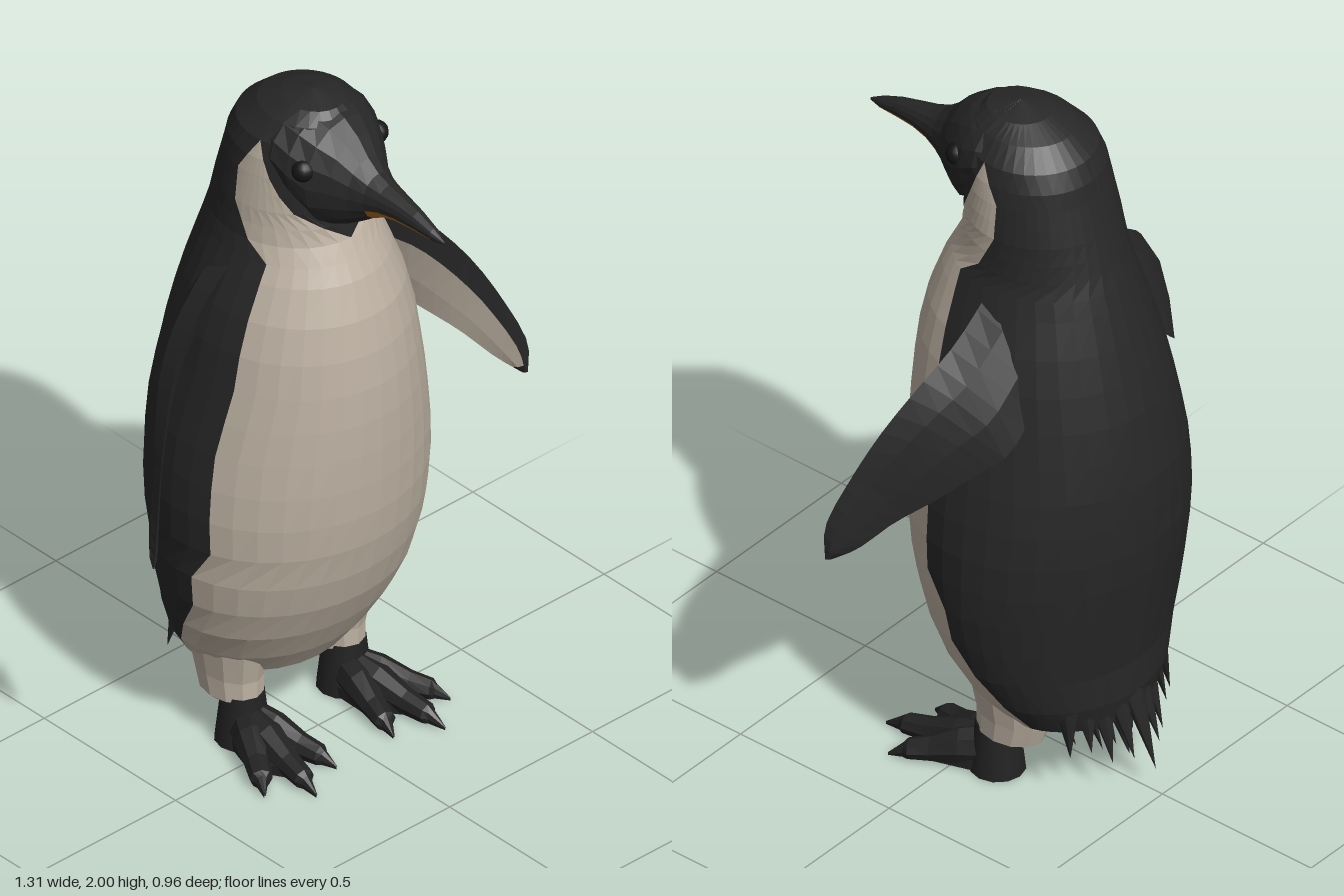
import * as THREE from 'three';

const mat = (name, color) => Object.assign(new THREE.MeshStandardMaterial({ color }), { name });
const lerp = THREE.MathUtils.lerp;

// Linear lookup in a list of [key, value] pairs with rising keys
function lookup(table, k) {
  if (k <= table[0][0]) return table[0][1];
  for (let i = 1; i < table.length; i++) {
    const [k0, v0] = table[i - 1], [k1, v1] = table[i];
    if (k <= k1) return lerp(v0, v1, (k - k0) / (k1 - k0));
  }
  return table[table.length - 1][1];
}

// Faceted skin over rows of points; pick(i, j) gives the material index of a quad
function skin(name, rows, materials, pick = () => 0, side = 1) {
  const buckets = materials.map(() => []);
  const tri = (out, a, b, c) => {
    const pts = side > 0 ? [a, b, c] : [a, c, b];
    const n = new THREE.Vector3().subVectors(b, a).cross(new THREE.Vector3().subVectors(c, a));
    if (n.length() > 1e-9) pts.forEach(p => out.push(p.x * side, p.y, p.z));
  };
  for (let i = 0; i < rows.length - 1; i++) {
    for (let j = 0; j < rows[i].length - 1; j++) {
      const a = rows[i][j], b = rows[i][j + 1], c = rows[i + 1][j + 1], d = rows[i + 1][j];
      const out = buckets[pick(i, j)];
      tri(out, a, b, c);
      tri(out, a, c, d);
    }
  }
  const geo = new THREE.BufferGeometry();
  geo.setAttribute('position', new THREE.Float32BufferAttribute(buckets.flat(), 3));
  let start = 0;
  buckets.forEach((b, m) => {
    geo.addGroup(start, b.length / 3, m);
    start += b.length / 3;
  });
  geo.computeVertexNormals();
  const mesh = new THREE.Mesh(geo, materials);
  mesh.name = name;
  return mesh;
}

export function createModel() {
  const model = new THREE.Group();
  model.name = 'penguin';
  const black = mat('black plumage', 0x272727);
  const cream = mat('cream plumage', 0xbdb1a2);
  const orange = mat('orange bill', 0xb0691c);
  const footBlack = mat('dark feet', 0x222222);
  const eyeBlack = mat('eye', 0x151515);
  const V = (x, y, z) => new THREE.Vector3(x, y, z);
  const add = (name, geo, m) => {
    const mesh = new THREE.Mesh(geo, m);
    mesh.name = name;
    model.add(mesh);
    return mesh;
  };

  // Body and head: height, front z, back z, half width
  const profile = [
    [0.17, -0.19, -0.21, 0.01], [0.18, -0.07, -0.35, 0.16], [0.22, 0, -0.405, 0.235],
    [0.3, 0.06, -0.42, 0.29], [0.4, 0.12, -0.42, 0.335], [0.5, 0.168, -0.435, 0.36],
    [0.6, 0.2, -0.45, 0.375], [0.7, 0.222, -0.466, 0.383], [0.8, 0.235, -0.475, 0.385],
    [0.9, 0.242, -0.477, 0.377], [1, 0.246, -0.475, 0.362], [1.1, 0.247, -0.462, 0.343],
    [1.2, 0.243, -0.445, 0.322], [1.3, 0.232, -0.42, 0.303], [1.4, 0.212, -0.393, 0.275],
    [1.5, 0.176, -0.363, 0.238], [1.55, 0.15, -0.347, 0.22], [1.6, 0.125, -0.33, 0.207],
    [1.65, 0.115, -0.316, 0.202], [1.7, 0.11, -0.302, 0.2], [1.75, 0.11, -0.288, 0.195],
    [1.8, 0.11, -0.274, 0.19], [1.85, 0.11, -0.262, 0.183], [1.9, 0.11, -0.238, 0.168],
    [1.95, 0.1, -0.18, 0.125], [1.98, 0.07, -0.11, 0.08], [2, -0.015, -0.025, 0.003],
  ];
  // Z of the edge of the dark back, and of the dark face
  const backEdge = [[0.2, -0.26], [0.3, -0.21], [0.4, -0.15], [0.5, -0.09], [0.6, -0.08], [0.7, -0.015],
    [1, -0.015], [1.2, 0.01], [1.55, 0.015], [1.6, -0.05], [1.7, -0.1], [1.8, -0.1], [1.85, -0.07], [1.9, -0.04]];
  const faceEdge = [[1.6, 0.3], [1.65, 0.1], [1.7, 0.055], [1.75, 0.025], [1.8, 0], [1.85, -0.02], [1.9, -0.04]];
  const FACE = 6, CHEEK = 7, BACK = 10;
  const bodyRows = profile.map(([y, zf, zb, hw]) => {
    const zc = (zf + zb) / 2, rz = (zf - zb) / 2;
    const angle = z => Math.acos(THREE.MathUtils.clamp((z - zc) / rz, -1, 1));
    const a1 = angle(lookup(faceEdge, y)), a2 = Math.max(a1, angle(lookup(backEdge, y)));
    const half = [];
    for (let k = 0; k <= FACE; k++) half.push(a1 * k / FACE);
    for (let k = 1; k <= CHEEK; k++) half.push(lerp(a1, a2, k / CHEEK));
    for (let k = 1; k <= BACK; k++) half.push(lerp(a2, Math.PI, k / BACK));
    const full = [...half.slice(1).reverse().map(a => -a), ...half];
    return full.map(a => V(hw * Math.sin(a), y, zc + rz * Math.cos(a)));
  });
  const HALF = FACE + CHEEK + BACK;
  model.add(skin('body', bodyRows, [black, cream], (i, j) => {
    const k = j >= HALF ? j - HALF : HALF - 1 - j;
    return k >= FACE && k < FACE + CHEEK ? 1 : 0;
  }));

  // Face and bill: z, top, bottom, half width
  const bill = [
    [-0.1, 1.96, 1.8, 0.14], [0, 1.985, 1.745, 0.17], [0.05, 1.98, 1.69, 0.162], [0.1, 1.963, 1.645, 0.14],
    [0.15, 1.93, 1.665, 0.105], [0.19, 1.885, 1.69, 0.075], [0.23, 1.855, 1.72, 0.056], [0.27, 1.84, 1.742, 0.045],
    [0.32, 1.828, 1.753, 0.035], [0.38, 1.813, 1.755, 0.026], [0.44, 1.79, 1.755, 0.017], [0.48, 1.768, 1.76, 0.003],
  ];
  const N = 16;
  const billRows = bill.map(([z, top, bottom, hw]) => Array.from({ length: N + 1 }, (_, j) => {
    const a = j / N * Math.PI * 2;
    return V(hw * Math.cos(a), (top + bottom) / 2 + (top - bottom) / 2 * Math.sin(a), z);
  }));
  model.add(skin('faceAndBill', billRows, [black, orange],
    (i, j) => (i >= 6 && i < 10 && [9, 10, 13, 14].includes(j) ? 1 : 0)));

  // Flipper edges from shoulder to tip
  const lead = new THREE.CatmullRomCurve3([V(0.2, 1.54, -0.09), V(0.33, 1.43, -0.08), V(0.44, 1.34, -0.05),
    V(0.53, 1.22, 0), V(0.6, 1.08, 0.05), V(0.65, 0.94, 0.09), V(0.655, 0.845, 0.085)]);
  const trail = new THREE.CatmullRomCurve3([V(0.24, 1.25, -0.27), V(0.33, 1.16, -0.26), V(0.4, 1.1, -0.2),
    V(0.47, 1.03, -0.13), V(0.54, 0.96, -0.05), V(0.605, 0.88, 0.02), V(0.645, 0.843, 0.075)]);
  const normal = V(0.77, 0.29, -0.57).normalize();
  const STEPS = 16;
  const wingRows = Array.from({ length: STEPS + 1 }, (_, i) => {
    const t = i / STEPS, L = lead.getPoint(t), T = trail.getPoint(t);
    const thick = lerp(0.045, 0.012, Math.min(1, t * 1.6)) * (i === STEPS ? 0.2 : 1);
    const at = (f, o) => L.clone().lerp(T, f).addScaledVector(normal, o * thick);
    return [at(1, 0), at(0.67, 0.8), at(0.3, 1), at(0, 0), at(0.27, -0.8), at(0.67, -0.6), at(1, 0)];
  });

  // Toe tips and the shape of one toe: along, half width, height
  const heel = V(0.175, 0, -0.09);
  const toeTips = [V(0.325, 0, 0.15), V(0.225, 0, 0.24), V(0.1, 0, 0.18)];
  const toe = [[0, 0.05, 0.125], [0.35, 0.046, 0.105], [0.62, 0.034, 0.07], [0.82, 0.03, 0.055],
    [0.86, 0.016, 0.045], [1, 0.002, 0.01]];
  // Leg: y, centre x, centre z, radius x, radius z
  const leg = [[0.12, 0.178, -0.13, 0.05, 0.07], [0.14, 0.178, -0.14, 0.072, 0.1], [0.2, 0.177, -0.15, 0.077, 0.11],
    [0.3, 0.18, -0.15, 0.09, 0.13], [0.42, 0.18, -0.15, 0.11, 0.15]];

  for (const side of [1, -1]) {
    const label = side > 0 ? 'left' : 'right';
    model.add(skin(label + 'Flipper', wingRows, [black, cream],
      (i, j) => (i >= 3 && i < STEPS - 1 && j >= 4 ? 1 : 0), side));

    const legRows = leg.map(([y, cx, cz, rx, rz]) => Array.from({ length: 13 }, (_, j) => {
      const a = j / 12 * Math.PI * 2;
      return V(cx + rx * Math.sin(a), y, cz + rz * Math.cos(a));
    }));
    model.add(skin(label + 'Leg', legRows, [cream], undefined, side));

    const ankle = add(label + 'Ankle', new THREE.CylinderGeometry(0.058, 0.075, 0.15, 12), footBlack);
    ankle.position.set(0.178 * side, 0.075, -0.095);

    toeTips.forEach((tip, n) => {
      const d = tip.clone().sub(heel).normalize(), s = V(d.z, 0, -d.x);
      const rows = toe.map(([t, w, h]) => Array.from({ length: 9 }, (_, j) => {
        const a = j / 8 * Math.PI * 2;
        const p = heel.clone().lerp(tip, t).addScaledVector(s, w * Math.cos(a));
        p.y = h * (0.5 + 0.5 * Math.sin(a));
        return p;
      }));
      model.add(skin(label + 'Toe' + (n + 1), rows, [footBlack], undefined, side));
    });

    // Web between the toes
    const web = new THREE.Shape([[0.12, -0.1], [0.23, -0.1], [0.29, 0.08], [0.245, 0.09], [0.21, 0.15],
      [0.165, 0.09], [0.115, 0.11]].map(([x, z]) => new THREE.Vector2(x * side, z)));
    const webGeo = new THREE.ExtrudeGeometry(web, { depth: 0.03, bevelEnabled: false });
    webGeo.rotateX(Math.PI / 2).translate(0, 0.035, 0);
    add(label + 'Web', webGeo, footBlack);

    const eye = add(label + 'Eye', new THREE.SphereGeometry(0.032, 14, 10), eyeBlack);
    eye.position.set(0.128 * side, 1.85, 0.082);
  }

  // Tail feathers in two layers
  const feather = (from, to, r) => {
    const dir = to.clone().sub(from);
    const geo = new THREE.ConeGeometry(r, dir.length(), 6);
    geo.scale(1, 1, 0.6);
    const mesh = add('tailFeather', geo, black);
    mesh.position.copy(from).addScaledVector(dir, 0.5);
    mesh.quaternion.setFromUnitVectors(V(0, 1, 0), dir.normalize());
  };
  for (let k = -4; k <= 4; k++) {
    const x = k * 0.05, ax = Math.abs(x), lift = k % 2 ? 0.025 : 0;
    feather(V(x * 0.9, 0.36, -0.375 + ax * 0.25), V(x, 0.07 + 0.45 * ax + lift, -0.478 + 0.6 * ax), 0.05);
    feather(V(x * 0.8, 0.28, -0.32 + ax * 0.3), V(x * 0.6, 0.075 + 0.3 * ax + lift, -0.39 + 0.4 * ax), 0.045);
  }
  return model;
}
